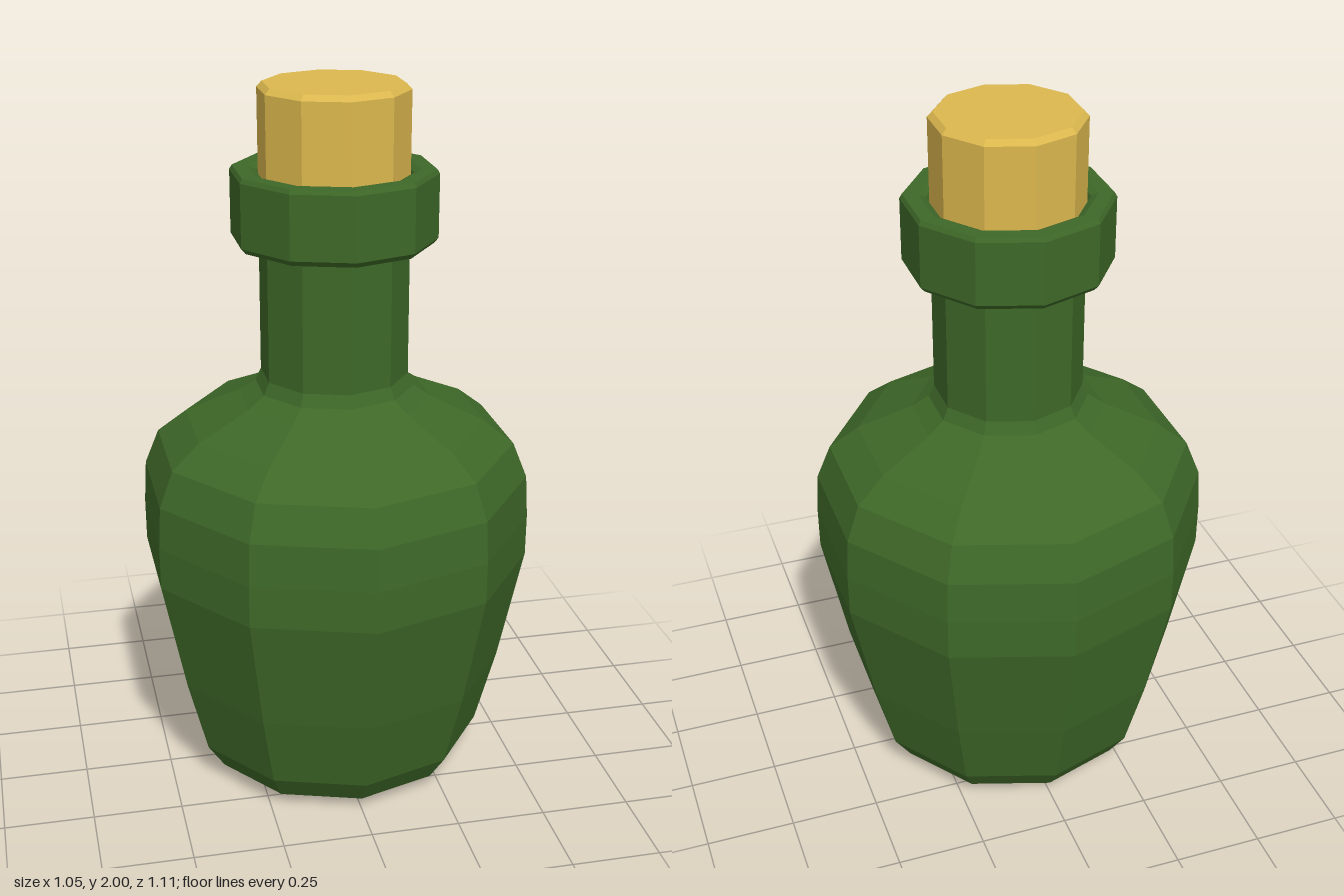
import * as THREE from 'three';

const SIDES = 10;

// Ten-sided turned part with a corner facing the front; profile runs [radius, height]
function turned(name, profile, color) {
  const points = profile.map(([r, y]) => new THREE.Vector2(r, y));
  const material = new THREE.MeshStandardMaterial({ color, flatShading: true });
  const mesh = new THREE.Mesh(new THREE.LatheGeometry(points, SIDES), material);
  mesh.name = name;
  return mesh;
}

export function createModel() {
  const group = new THREE.Group();
  group.name = 'corkedBottle';
  const green = 0x3e6828;
  const tan = 0xdcb84e;

  // Belly, shoulder and neck
  group.add(turned('bottleBody', [
    [0, 0], [0.285, 0], [0.373, 0.035], [0.423, 0.11], [0.482, 0.33],
    [0.552, 0.66], [0.553, 0.78], [0.546, 0.9], [0.506, 1.0], [0.423, 1.065],
    [0.27, 1.133], [0.222, 1.165], [0.206, 1.2], [0.206, 1.555], [0.24, 1.575],
  ], green));

  // Collar with small bevels and an open mouth
  group.add(turned('collar', [
    [0.2, 1.565], [0.225, 1.567], [0.27, 1.573], [0.283, 1.588], [0.283, 1.763], [0.276, 1.775],
    [0.235, 1.775], [0.215, 1.765], [0.205, 1.74], [0.2, 1.6],
  ], green));

  // Cork stopper with a bevelled top
  group.add(turned('cork', [
    [0, 1.6], [0.205, 1.6], [0.206, 1.985], [0.192, 2], [0, 2],
  ], tan));

  return group;
}
